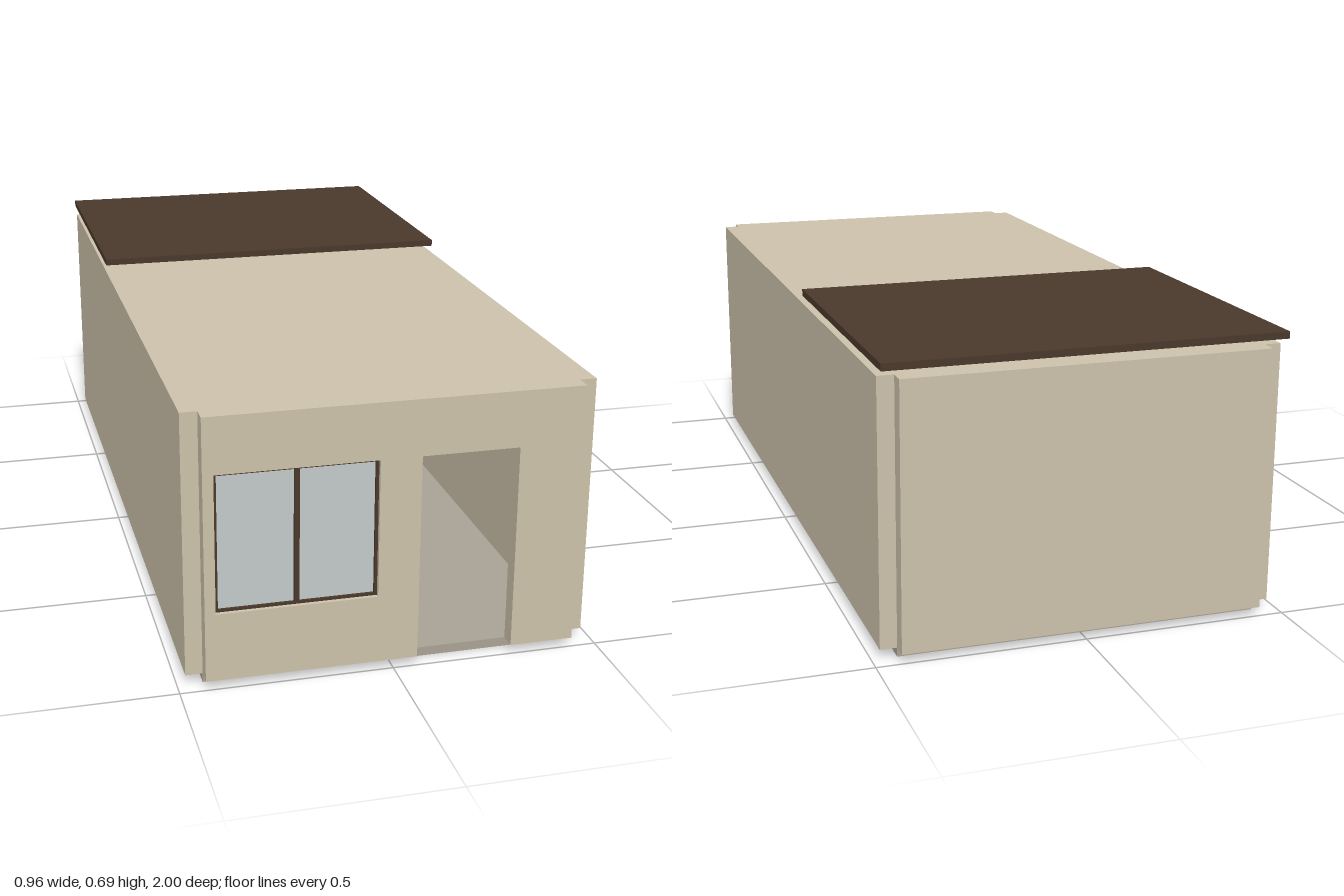
import * as THREE from 'three';

const mat = (name, color) => new THREE.MeshStandardMaterial({ name, color });

export function createModel() {
  const plaster = mat('plaster', 0xcbc1aa);
  const stone = mat('floorStone', 0xa8a194);
  const wood = mat('darkWood', 0x4a382b);
  const glass = mat('paleGlass', 0xc2c9c9);
  const shade = mat('lampShade', 0xd6d0bf);
  const metal = mat('metal', 0x9a9a98);

  const house = new THREE.Group();
  house.name = 'house';

  const group = (name, parent = house) => {
    const g = new THREE.Group();
    g.name = name;
    parent.add(g);
    return g;
  };
  // box given by its minimum and maximum corners
  const box = (name, m, [x0, x1], [y0, y1], [z0, z1], parent = house) => {
    const mesh = new THREE.Mesh(new THREE.BoxGeometry(x1 - x0, y1 - y0, z1 - z0), m);
    mesh.position.set((x0 + x1) / 2, (y0 + y1) / 2, (z0 + z1) / 2);
    mesh.name = name;
    parent.add(mesh);
    return mesh;
  };

  // shell
  box('floor', stone, [-0.44, 0.44], [0, 0.022], [-0.96, 0.96]);
  box('leftWall', plaster, [0.44, 0.48], [0.022, 0.655], [-0.96, 0.96]);
  box('rightWall', plaster, [-0.48, -0.44], [0.022, 0.655], [-0.96, 0.96]);
  box('backWall', plaster, [-0.44, 0.44], [0.022, 0.655], [-1, -0.96]);
  box('ceiling', plaster, [-0.44, 0.44], [0.625, 0.655], [-0.96, 0.96]);
  box('roofSlab', wood, [-0.48, 0.48], [0.675, 0.692], [-1, -0.22]);

  // front wall with a doorway reaching the floor and a window opening
  const outline = new THREE.Shape([
    [-0.44, 0.022], [0.057, 0.022], [0.057, 0.52], [0.287, 0.52],
    [0.287, 0.022], [0.44, 0.022], [0.44, 0.655], [-0.44, 0.655],
  ].map(p => new THREE.Vector2(...p)));
  outline.holes.push(new THREE.Path([
    [-0.415, 0.187], [-0.415, 0.52], [-0.04, 0.52], [-0.04, 0.187],
  ].map(p => new THREE.Vector2(...p))));
  const front = new THREE.Mesh(
    new THREE.ExtrudeGeometry(outline, { depth: 0.04, bevelEnabled: false }), plaster);
  front.position.z = 0.96;
  front.name = 'frontWall';
  house.add(front);

  // window
  const win = group('window');
  const wz = [0.97, 0.99];
  for (const x of [-0.415, -0.047]) box('windowStile', wood, [x, x + 0.007], [0.187, 0.52], wz, win);
  for (const y of [0.187, 0.514]) box('windowRail', wood, [-0.408, -0.047], [y, y + 0.006], wz, win);
  box('windowMullion', wood, [-0.233, -0.221], [0.193, 0.514], wz, win);
  box('windowPane', glass, [-0.408, -0.047], [0.193, 0.514], [0.977, 0.983], win);

  // inner door on the back wall
  const door = group('backDoor');
  for (const x of [0.066, 0.287]) box('doorJamb', wood, [x, x + 0.019], [0.022, 0.438], [-0.96, -0.93], door);
  box('doorHead', wood, [0.085, 0.287], [0.425, 0.438], [-0.96, -0.93], door);
  box('doorLeaf', wood, [0.085, 0.287], [0.022, 0.425], [-0.96, -0.94], door);
  const knob = new THREE.Mesh(new THREE.SphereGeometry(0.005, 10, 8), metal);
  knob.position.set(0.102, 0.216, -0.934);
  knob.name = 'doorKnob';
  door.add(knob);

  // counter along the back wall and a low cabinet by the side wall
  box('counter', wood, [-0.44, 0.064], [0.022, 0.19], [-0.96, -0.84]);
  box('cabinet', wood, [-0.44, -0.35], [0.022, 0.11], [0.0, 0.38]);

  // dining table
  const table = group('table');
  box('tableTop', wood, [-0.16, 0.02], [0.15, 0.16], [0.26, 0.52], table);
  for (const x of [-0.15, 0.0]) for (const z of [0.27, 0.5]) {
    box('tableLeg', wood, [x, x + 0.01], [0.022, 0.15], [z, z + 0.01], table);
  }

  // chair facing -x, with leaning back posts
  const makeChair = (x, z, turn) => {
    const c = group('chair');
    box('seat', wood, [-0.042, 0.042], [0.08, 0.087], [-0.042, 0.042], c);
    for (const s of [-0.036, 0.036]) {
      const sz = [s - 0.004, s + 0.004];
      for (const lx of [-0.036, 0.036]) box('chairLeg', wood, [lx - 0.004, lx + 0.004], [0, 0.08], sz, c);
      for (const y of [0.028, 0.048]) box('sideRung', wood, [-0.032, 0.032], [y, y + 0.004], sz, c);
      box('backPost', wood, [0.04, 0.047], [0.08, 0.175], sz, c).rotation.z = -0.15;
    }
    for (const y of [0.108, 0.13, 0.152]) {
      const dx = 0.0435 + (y - 0.1275) * 0.15;
      box('backSlat', wood, [dx - 0.002, dx + 0.002], [y, y + 0.012], [-0.032, 0.032], c);
    }
    for (const lx of [-0.036, 0.036]) {
      box('crossRung', wood, [lx - 0.002, lx + 0.002], [0.038, 0.042], [-0.032, 0.032], c);
    }
    c.position.set(x, 0.022, z);
    c.rotation.y = turn;
  };
  makeChair(0.06, 0.39, 0);
  makeChair(-0.2, 0.39, Math.PI);

  // pendant lamp
  const lamp = group('pendantLamp');
  const addLamp = (name, geo, m, y) => {
    const mesh = new THREE.Mesh(geo, m);
    mesh.position.y = y;
    mesh.name = name;
    lamp.add(mesh);
    return mesh;
  };
  addLamp('globe', new THREE.SphereGeometry(0.032, 16, 10), shade, 0.463).scale.y = 0.84;
  addLamp('topCap', new THREE.CylinderGeometry(0.013, 0.013, 0.005, 12), wood, 0.491);
  addLamp('bottomCap', new THREE.CylinderGeometry(0.013, 0.013, 0.005, 12), wood, 0.436);
  addLamp('cord', new THREE.CylinderGeometry(0.001, 0.001, 0.132, 6), wood, 0.559);
  lamp.position.set(0.172, 0, 0.2);

  return house;
}
